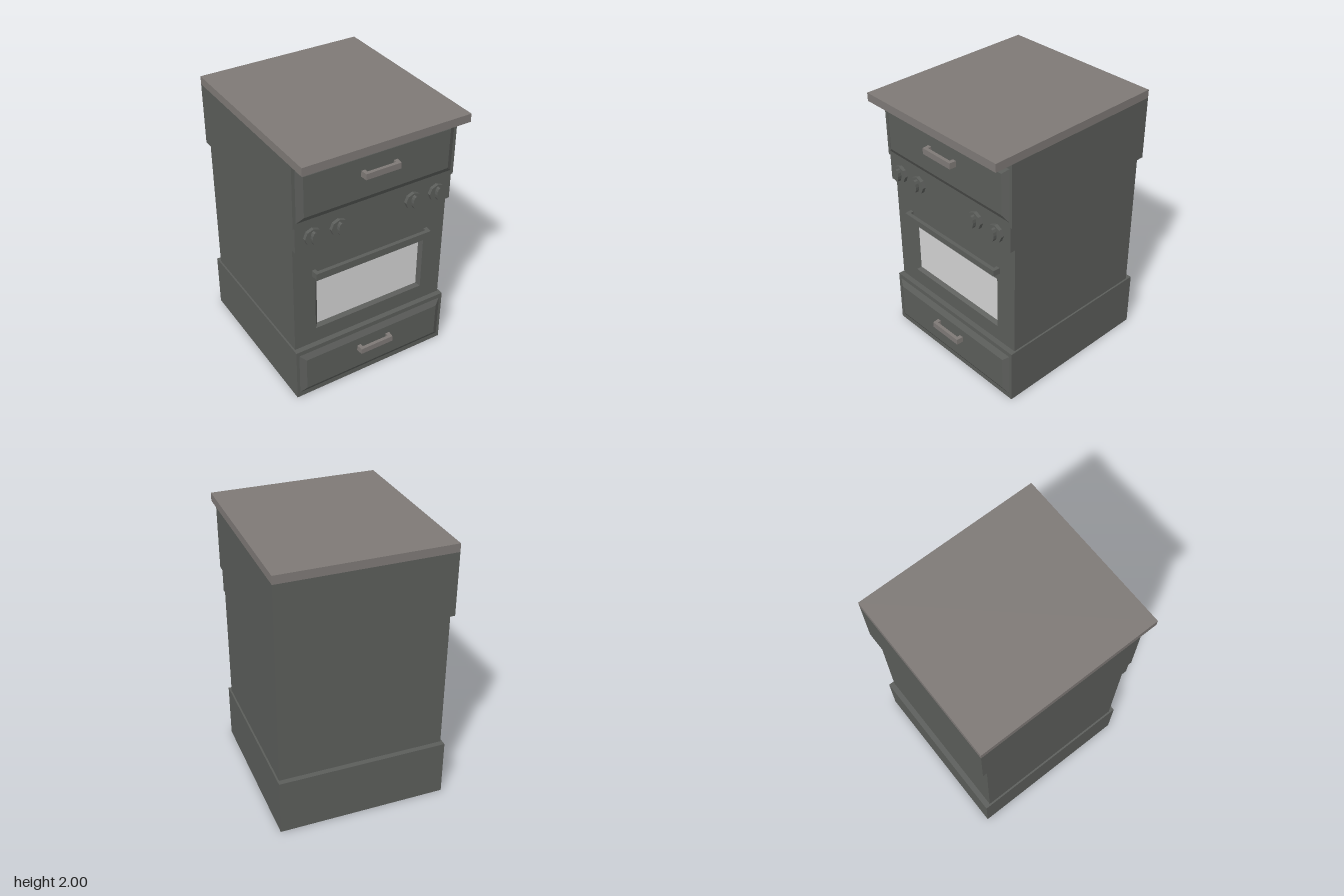
import * as THREE from 'three';

const material = (name, color) => {
  const m = new THREE.MeshStandardMaterial({ color });
  m.name = name;
  return m;
};

export function createModel() {
  const enamel = material('dark grey enamel', 0x5b5d5a);
  const stone = material('warm grey worktop', 0x7e7976);
  const glass = material('pale window glass', 0xd2d2d2);
  const model = new THREE.Group();
  model.name = 'stove';

  const add = (name, geometry, mat, x = 0, y = 0, z = 0, parent = model) => {
    const mesh = new THREE.Mesh(geometry, mat);
    mesh.name = name;
    mesh.position.set(x, y, z);
    parent.add(mesh);
    return mesh;
  };

  // Box given by its width, vertical range and depth range
  const block = (name, mat, w, y0, y1, z0, z1) =>
    add(name, new THREE.BoxGeometry(w, y1 - y0, z1 - z0), mat, 0, (y0 + y1) / 2, (z0 + z1) / 2);

  // Four sloping faces joining an outer rectangle at z0 to an inner one at z1
  const bevelRing = (w0, h0, z0, w1, h1, z1) => {
    const corners = [[-1, -1], [1, -1], [1, 1], [-1, 1]];
    const outer = corners.map(([x, y]) => [x * w0 / 2, y * h0 / 2, z0]);
    const inner = corners.map(([x, y]) => [x * w1 / 2, y * h1 / 2, z1]);
    const points = [];
    for (let i = 0; i < 4; i++) {
      const j = (i + 1) % 4;
      points.push(...outer[i], ...outer[j], ...inner[j], ...outer[i], ...inner[j], ...inner[i]);
    }
    const geometry = new THREE.BufferGeometry();
    geometry.setAttribute('position', new THREE.Float32BufferAttribute(points, 3));
    geometry.computeVertexNormals();
    return geometry;
  };

  // U-shaped bar handle standing out from a front at depth z
  const handle = (name, mat, w, h, reach, leg, bar, y, z) => {
    const a = w / 2, f = a - 0.005, b = a - leg;
    const shape = new THREE.Shape([
      [-a, 0], [-b, 0], [-b, reach - bar], [b, reach - bar],
      [b, 0], [a, 0], [f, reach], [-f, reach],
    ].map(p => new THREE.Vector2(...p)));
    const geometry = new THREE.ExtrudeGeometry(shape, { depth: h, bevelEnabled: false });
    geometry.translate(0, 0, -h / 2).rotateX(Math.PI / 2);
    add(name, geometry, mat, 0, y, z);
  };

  // Worktop and the two drawer cabinets
  block('worktop', stone, 1.246, 1.94, 2, -0.69, 0.69);
  block('lowerCabinet', enamel, 1.246, 0, 0.425, -0.69, 0.56);
  block('upperCabinet', enamel, 1.246, 1.48, 1.94, -0.69, 0.56);

  // Raised bevelled drawer fronts with handles
  for (const [side, y0, y1, handleY] of [['lower', 0.04, 0.39, 0.263], ['upper', 1.515, 1.9, 1.743]]) {
    const y = (y0 + y1) / 2, h = y1 - y0;
    add(side + 'DrawerBevel', bevelRing(1.2, h, 0.56, 1.11, h - 0.085, 0.584), enamel, 0, y, 0);
    add(side + 'DrawerFront', new THREE.PlaneGeometry(1.11, h - 0.085), enamel, 0, y, 0.584);
    handle(side + 'DrawerHandle', stone, 0.276, 0.044, 0.052, 0.03, 0.025, handleY, 0.583);
  }

  // Oven body and control panel
  block('ovenBody', enamel, 1.22, 0.425, 1.48, -0.65, 0.49);
  block('controlPanel', enamel, 1.22, 1.286, 1.48, 0.49, 0.557);

  // Oven door with a window opening
  const windowY = 0.753;
  const rect = (Type, w, y0, y1) => new Type([
    [-w / 2, y0], [w / 2, y0], [w / 2, y1], [-w / 2, y1],
  ].map(p => new THREE.Vector2(...p)));
  const door = rect(THREE.Shape, 1.22, 0.425, 1.286);
  door.holes.push(rect(THREE.Path, 0.884, windowY - 0.207, windowY + 0.207));
  add('ovenDoor', new THREE.ExtrudeGeometry(door, { depth: 0.03, bevelEnabled: false }), enamel, 0, 0, 0.49);
  add('windowFrame', bevelRing(0.884, 0.414, 0.52, 0.836, 0.37, 0.495), enamel, 0, windowY, 0);
  add('windowGlass', new THREE.PlaneGeometry(0.836, 0.37), glass, 0, windowY, 0.495);
  handle('ovenHandle', enamel, 0.936, 0.046, 0.054, 0.03, 0.028, 1.042, 0.519);

  // Faceted control knobs with oval grips
  const dial = new THREE.CylinderGeometry(0.063, 0.063, 0.025, 8).toNonIndexed();
  dial.rotateY(Math.PI / 2).rotateX(Math.PI / 2).computeVertexNormals();
  const grip = new THREE.CylinderGeometry(0.05, 0.05, 0.03, 12).toNonIndexed();
  grip.rotateX(Math.PI / 2).scale(0.44, 1, 1).computeVertexNormals();
  for (const x of [-0.486, -0.291, 0.291, 0.486]) {
    const knob = new THREE.Group();
    knob.name = 'knob';
    knob.position.set(x, 1.383, 0.557);
    add('knobDial', dial, enamel, 0, 0, 0.0125, knob);
    add('knobGrip', grip, enamel, 0, 0, 0.037, knob);
    model.add(knob);
  }

  return model;
}
